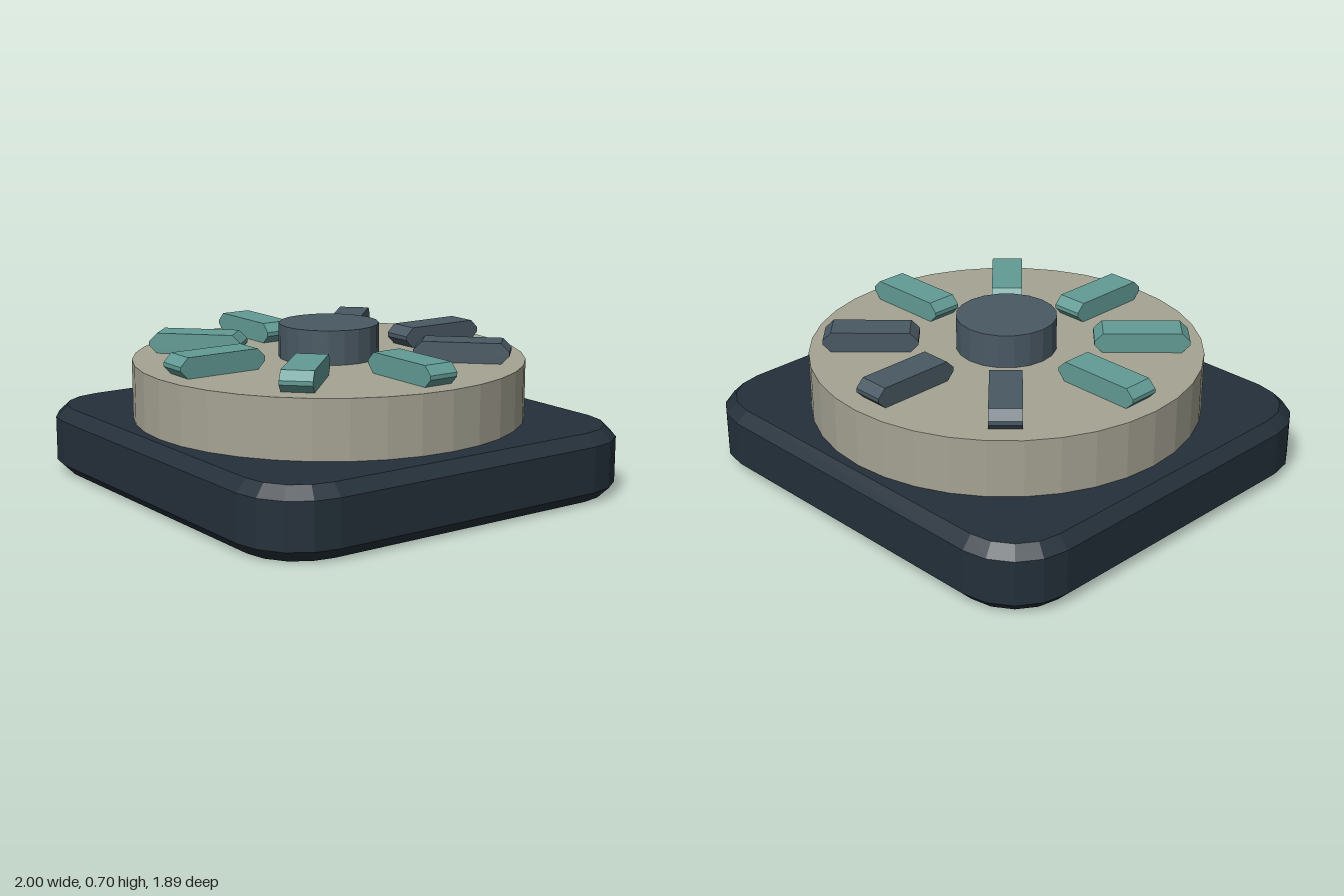
import * as THREE from 'three';

const mat = (name, color) => {
  const m = new THREE.MeshStandardMaterial({ color, flatShading: true });
  m.name = name;
  return m;
};

export function createModel() {
  const group = new THREE.Group();
  const navy = mat('dark navy', 0x24303a);
  const stone = mat('warm stone', 0xa5a393);
  const slate = mat('slate', 0x4a5964);
  const teal = mat('teal', 0x629b95);

  const add = (name, geometry, material) => {
    const mesh = new THREE.Mesh(geometry, material);
    mesh.name = name;
    group.add(mesh);
    return mesh;
  };

  // Base: rounded rectangle plate, bevelled on top and bottom
  const hx = 0.95, hz = 0.895, r = 0.24, bevel = 0.05;
  const outline = new THREE.Shape();
  [[1, 1], [-1, 1], [-1, -1], [1, -1]].forEach(([sx, sz], i) => {
    outline.absarc(sx * (hx - r), sz * (hz - r), r, i * Math.PI / 2, (i + 1) * Math.PI / 2, false);
  });
  outline.closePath();
  const base = new THREE.ExtrudeGeometry(outline, {
    depth: 0.2, curveSegments: 2, bevelEnabled: true,
    bevelSize: bevel, bevelThickness: bevel, bevelSegments: 1,
  });
  base.rotateX(-Math.PI / 2).translate(0, bevel, 0);
  add('base', base, navy);

  // Dial and central hub
  add('dial', new THREE.CylinderGeometry(0.86, 0.86, 0.255, 36), stone).position.y = 0.4275;
  add('hub', new THREE.CylinderGeometry(0.22, 0.22, 0.15, 20), slate).position.y = 0.63;

  // Radial bars with chamfered ends, lit ones on the front half
  const inner = 0.38, outer = 0.795, low = 0.553, high = 0.645, c = 0.037, width = 0.138;
  const profile = new THREE.Shape([
    [inner + c, low], [outer - c, low], [outer, low + c], [outer, high - c],
    [outer - c, high], [inner + c, high], [inner, high - c], [inner, low + c],
  ].map(([x, y]) => new THREE.Vector2(x, y)));
  const bar = new THREE.ExtrudeGeometry(profile, { depth: width, bevelEnabled: false });
  bar.translate(0, 0, -width / 2);
  for (let i = 0; i < 8; i++) {
    const lit = i <= 4;
    const mesh = add(lit ? 'litBar' : 'unlitBar', bar, lit ? teal : slate);
    mesh.rotation.y = -i * Math.PI / 4;
  }

  return group;
}
